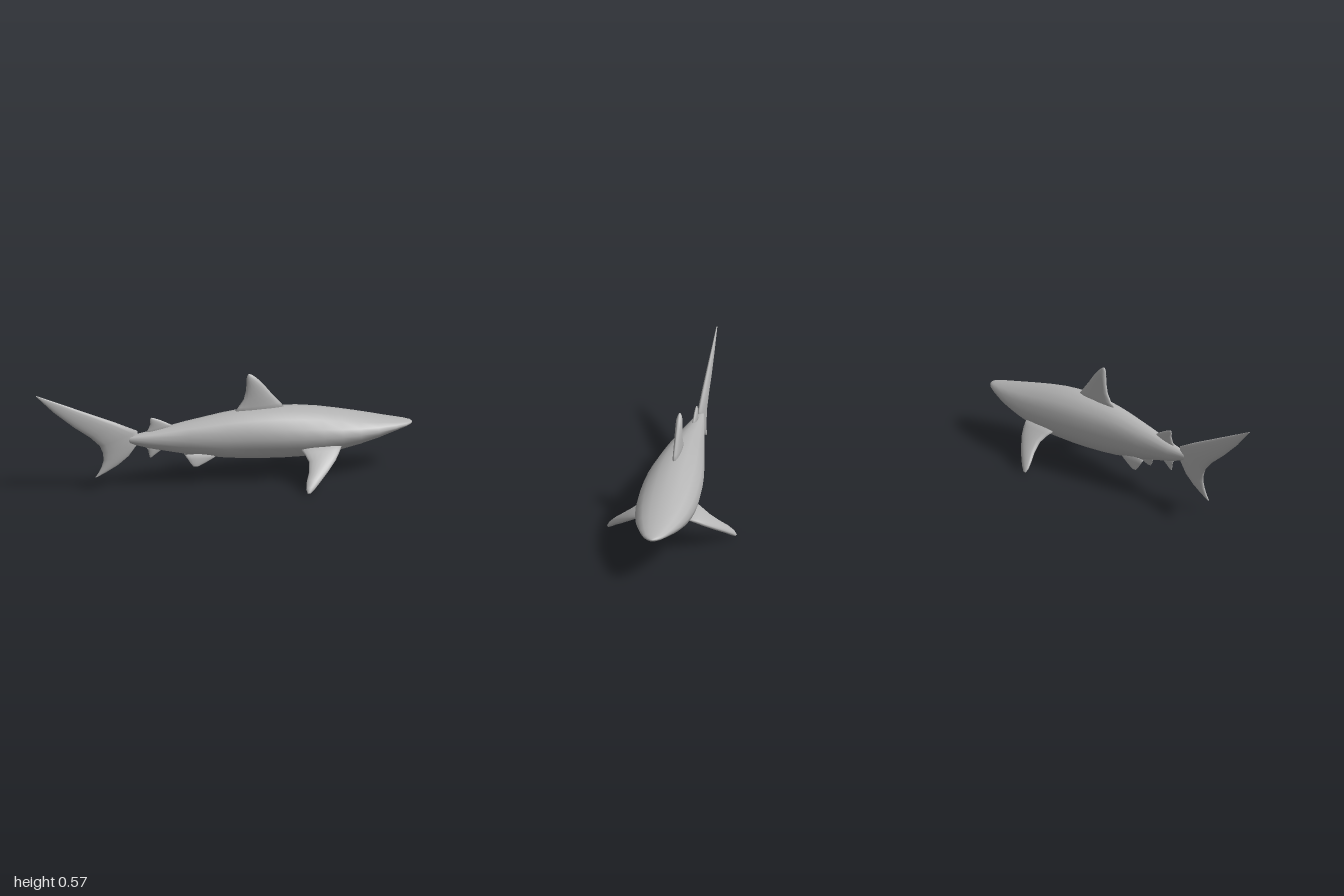
import * as THREE from 'three';

const SIDES = 16;

// Skin a row of closed rings, closing both ends, with the faces turned outwards
function loft(rings) {
  const n = rings[0].length;
  const pts = rings.flat();
  const index = [];
  const tri = (a, b, c) => index.push(a, b, c);
  for (let i = 0; i < rings.length - 1; i++) {
    for (let j = 0; j < n; j++) {
      const a = i * n + j, b = i * n + (j + 1) % n;
      tri(a, b, b + n);
      tri(a, b + n, a + n);
    }
  }
  for (const end of [0, rings.length - 1]) {
    const mid = new THREE.Vector3();
    rings[end].forEach(p => mid.addScaledVector(p, 1 / n));
    const c = pts.push(mid) - 1;
    for (let j = 0; j < n; j++) {
      const a = end * n + j, b = end * n + (j + 1) % n;
      end === 0 ? tri(c, b, a) : tri(c, a, b);
    }
  }
  let volume = 0;
  for (let i = 0; i < index.length; i += 3) {
    const [a, b, c] = [0, 1, 2].map(k => pts[index[i + k]]);
    volume += a.dot(b.clone().cross(c));
  }
  if (volume < 0) index.reverse();
  const geometry = new THREE.BufferGeometry().setFromPoints(pts);
  geometry.setIndex(index);
  geometry.computeVertexNormals();
  return geometry;
}

// Elliptical ring from a centre and two half axes
function ring(centre, u, v) {
  return Array.from({ length: SIDES }, (_, j) => {
    const t = j / SIDES * Math.PI * 2;
    return centre.clone().addScaledVector(u, Math.cos(t)).addScaledVector(v, Math.sin(t));
  });
}

// Fin from leading points, trailing points and half thickness vectors
function fin(stations) {
  return loft(stations.map(([lead, trail, thick]) => ring(
    lead.clone().add(trail).multiplyScalar(0.5),
    lead.clone().sub(trail).multiplyScalar(0.5),
    thick)));
}

const V = (x, y, z) => new THREE.Vector3(x, y, z);

// Upright fin in the centre plane: rows of lead x, lead y, trail x, trail y, half thickness
const uprightFin = rows => fin(rows.map(([lx, ly, tx, ty, h]) => [V(lx, ly, 0), V(tx, ty, 0), V(0, 0, h)]));

// Side fin: rows of z, y, lead x, trail x, half thickness; the normal leans outwards by (ny, nz)
const sideFin = (rows, side, ny, nz) => fin(rows.map(([z, y, lx, tx, h]) =>
  [V(lx, y, z * side), V(tx, y, z * side), V(0, ny * h, nz * h * side)]));

export function createModel() {
  const group = new THREE.Group();
  const grey = new THREE.MeshStandardMaterial({ color: 0xb4b4b4 });
  grey.name = 'grey skin';
  const add = (name, geometry) => {
    const mesh = new THREE.Mesh(geometry, grey);
    mesh.name = name;
    group.add(mesh);
  };

  // Body: x, top y, bottom y, half width
  const body = [
    [-0.52, 0.268, 0.252, 0.008], [-0.5, 0.282, 0.238, 0.02], [-0.4, 0.297, 0.206, 0.039],
    [-0.2, 0.335, 0.159, 0.073], [0, 0.365, 0.126, 0.107], [0.1, 0.375, 0.116, 0.123],
    [0.2, 0.379, 0.11, 0.138], [0.3, 0.378, 0.106, 0.149], [0.4, 0.37, 0.106, 0.155],
    [0.5, 0.356, 0.112, 0.157], [0.6, 0.336, 0.126, 0.152], [0.7, 0.314, 0.147, 0.139],
    [0.8, 0.291, 0.174, 0.116], [0.9, 0.268, 0.204, 0.08], [0.96, 0.256, 0.219, 0.051],
    [0.99, 0.249, 0.228, 0.026], [1, 0.242, 0.235, 0.008],
  ];
  add('body', loft(body.map(([x, top, bottom, w]) =>
    ring(V(x, (top + bottom) / 2, 0), V(0, (top - bottom) / 2, 0), V(0, 0, w)))));

  add('dorsalFin', uprightFin([
    [0.34, 0.352, 0.04, 0.355, 0.018], [0.3, 0.4, 0.075, 0.388, 0.018],
    [0.25, 0.457, 0.105, 0.43, 0.018], [0.21, 0.507, 0.117, 0.475, 0.018],
    [0.175, 0.543, 0.121, 0.52, 0.017], [0.15, 0.562, 0.122, 0.55, 0.01],
    [0.137, 0.568, 0.128, 0.564, 0.004],
  ]));

  add('rearDorsalFin', uprightFin([
    [-0.25, 0.305, -0.43, 0.275, 0.01], [-0.29, 0.33, -0.405, 0.305, 0.01],
    [-0.335, 0.353, -0.391, 0.335, 0.009], [-0.365, 0.365, -0.394, 0.357, 0.006],
    [-0.382, 0.37, -0.39, 0.367, 0.003],
  ]));

  add('analFin', uprightFin([
    [-0.29, 0.215, -0.42, 0.22, 0.009], [-0.325, 0.195, -0.403, 0.196, 0.009],
    [-0.36, 0.172, -0.398, 0.172, 0.007], [-0.383, 0.155, -0.394, 0.155, 0.003],
  ]));

  // Tail fin, from the long upper tip to the short lower tip
  add('tailFin', uprightFin([
    [-0.998, 0.54, -1, 0.536, 0.003], [-0.86, 0.481, -0.905, 0.44, 0.008],
    [-0.72, 0.421, -0.8, 0.352, 0.013], [-0.58, 0.361, -0.71, 0.287, 0.016],
    [-0.46, 0.305, -0.66, 0.238, 0.018], [-0.458, 0.235, -0.644, 0.2, 0.018],
    [-0.505, 0.172, -0.639, 0.16, 0.016], [-0.56, 0.128, -0.65, 0.125, 0.012],
    [-0.62, 0.095, -0.667, 0.092, 0.008], [-0.67, 0.071, -0.683, 0.069, 0.004],
  ]));

  // Paired fins
  for (const [side, label] of [[1, 'Front'], [-1, 'Back']]) {
    add('pectoralFin' + label, sideFin([
      [0.12, 0.182, 0.6, 0.375, 0.018], [0.16, 0.158, 0.577, 0.393, 0.018],
      [0.2, 0.13, 0.548, 0.405, 0.018], [0.25, 0.09, 0.497, 0.392, 0.017],
      [0.29, 0.056, 0.45, 0.371, 0.015], [0.32, 0.026, 0.41, 0.361, 0.012],
      [0.336, 0.007, 0.382, 0.365, 0.006],
    ], side, 0.8, 0.6));
    add('pelvicFin' + label, sideFin([
      [0.036, 0.165, -0.03, -0.215, 0.009], [0.043, 0.14, -0.062, -0.2, 0.009],
      [0.048, 0.12, -0.105, -0.188, 0.007], [0.052, 0.103, -0.145, -0.174, 0.004],
    ], side, 0.3, 0.95));
  }
  return group;
}
